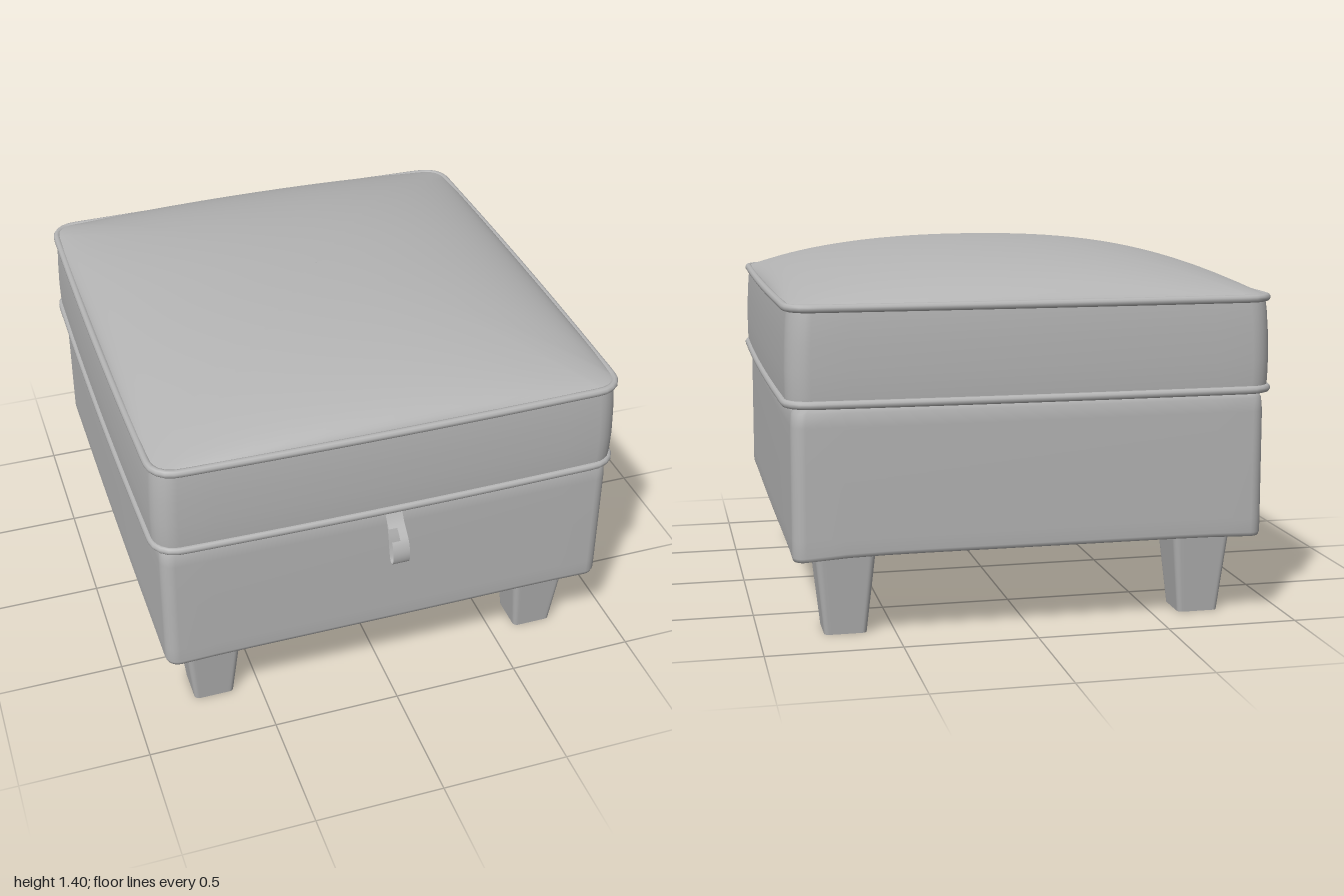
import * as THREE from 'three';

const grey = new THREE.MeshStandardMaterial({ color: 0xb4b4b4 });
grey.name = 'grey upholstery';
const greyOpen = new THREE.MeshStandardMaterial({ color: 0xb4b4b4, side: THREE.DoubleSide });
greyOpen.name = 'grey strap';

// Rounded rectangle in the xz plane; the sides bow out slightly by "bow"
function ring(hx, hz, r, bow = 0) {
  const corners = [[1, 1], [-1, 1], [-1, -1], [1, -1]];
  const pts = [];
  corners.forEach(([sx, sz], k) => {
    for (let i = 0; i <= 6; i++) {
      const a = (k + i / 6) * Math.PI / 2;
      pts.push([sx * (hx - r) + r * Math.cos(a), sz * (hz - r) + r * Math.sin(a)]);
    }
    const end = pts[pts.length - 1];
    const [nx, nz] = corners[(k + 1) % 4];
    const a = (k + 1) * Math.PI / 2;
    const next = [nx * (hx - r) + r * Math.cos(a), nz * (hz - r) + r * Math.sin(a)];
    for (let i = 1; i < 12; i++) {
      pts.push([0, 1].map(c => end[c] + (next[c] - end[c]) * i / 12));
    }
  });
  return pts.map(([x, z]) => [x * (1 - bow * (z / hz) ** 2), z * (1 - bow * (x / hx) ** 2)]);
}

// Skin over rounded-rectangle sections [hx, hz, radius, y], listed from bottom to top
function loft(sections, bow = 0, lift = (x, z, y) => y) {
  const pos = [], index = [];
  let n = 0;
  sections.forEach(([hx, hz, r, y], i) => {
    const pts = ring(hx, hz, r, bow);
    n = pts.length;
    pts.forEach(([x, z]) => pos.push(x, lift(x, z, y), z));
    if (i === 0) return;
    for (let j = 0; j < n; j++) {
      const a = (i - 1) * n + j, b = (i - 1) * n + (j + 1) % n;
      index.push(a, a + n, b, b, a + n, b + n);
    }
  });
  const geo = new THREE.BufferGeometry();
  geo.setAttribute('position', new THREE.Float32BufferAttribute(pos, 3));
  geo.setIndex(index);
  geo.computeVertexNormals();
  return geo;
}

export function createModel() {
  const model = new THREE.Group();
  model.name = 'footstool';
  const add = (name, geo, x = 0, y = 0, z = 0, mat = grey) => {
    const mesh = new THREE.Mesh(geo, mat);
    mesh.name = name;
    mesh.position.set(x, y, z);
    model.add(mesh);
  };

  // Storage box, its lower edge sagging a little at the corners
  const sag = (x, z, y) => {
    const low = Math.max(0, (0.5 - y) / 0.18);
    const corner = (Math.abs(x) / 0.89) ** 6 * (Math.abs(z) / 0.92) ** 6;
    return y - low * corner * (x > 0 && z < 0 ? 0.025 : 0.012);
  };
  add('storageBox', loft([
    [0.005, 0.005, 0.002, 0.335], [0.5, 0.53, 0.04, 0.335], [0.86, 0.895, 0.05, 0.333],
    [0.875, 0.91, 0.05, 0.327], [0.886, 0.921, 0.05, 0.331], [0.89, 0.925, 0.05, 0.345],
    [0.89, 0.925, 0.05, 0.4], [0.889, 0.924, 0.05, 0.6], [0.888, 0.923, 0.05, 0.8],
    [0.884, 0.919, 0.05, 0.85], [0.872, 0.907, 0.05, 0.87], [0.8, 0.83, 0.05, 0.876],
  ], 0.006, sag), 0, 0, -0.025);

  // Cushion side band with its underside
  add('cushionBand', loft([
    [0.005, 0.005, 0.002, 0.878], [0.8, 0.84, 0.08, 0.878], [0.908, 0.948, 0.085, 0.878],
    [0.908, 0.948, 0.085, 0.878], [0.911, 0.951, 0.085, 0.92], [0.912, 0.952, 0.085, 1.0],
    [0.909, 0.949, 0.085, 1.1], [0.904, 0.944, 0.085, 1.18], [0.898, 0.938, 0.085, 1.225],
  ], 0.014), 0, 0, -0.032);

  // Domed cushion top
  const puff = (v, h) => Math.max(0, 1 - Math.abs(v / h) ** 2.2) ** 0.55;
  const rings = [];
  for (let i = 0; i <= 24; i++) {
    const s = Math.max(0.003, 1 - (i / 24) ** 2);
    rings.push([0.897 * s, 0.937 * s, 0.085 * s, 1.222]);
  }
  add('cushionTop', loft(rings, 0.014,
    (x, z, y) => y + 0.183 * puff(x, 0.897) * puff(z, 0.937)), 0, 0, -0.032);

  // Piping along both cushion seams
  const piping = (name, hx, hz, y) => {
    const path = ring(hx, hz, 0.085, 0.014).map(([x, z]) => new THREE.Vector3(x, y, z));
    const curve = new THREE.CatmullRomCurve3(path, true);
    add(name, new THREE.TubeGeometry(curve, 240, 0.015, 10, true), 0, 0, -0.032);
  };
  piping('upperPiping', 0.902, 0.943, 1.224);
  piping('lowerPiping', 0.909, 0.949, 0.886);

  // Four tapered legs
  const leg = loft([
    [0.002, 0.002, 0.001, 0], [0.079, 0.079, 0.018, 0], [0.079, 0.079, 0.018, 0],
    [0.115, 0.115, 0.026, 0.34],
  ]);
  for (const [side, x] of [['Left', 0.683], ['Right', -0.683]]) {
    add('front' + side + 'Leg', leg, x, 0, 0.69);
    add('back' + side + 'Leg', leg, x, 0, -0.725);
  }

  // Pull strap: a looped ribbon with a small notch in its front strand
  const loop = new THREE.CatmullRomCurve3([
    [0.88, 0.9], [0.925, 0.83], [0.985, 0.77], [1.0, 0.72], [0.99, 0.683],
    [0.972, 0.683], [0.955, 0.72], [0.94, 0.78], [0.915, 0.84], [0.88, 0.875],
  ].map(([z, y]) => new THREE.Vector3(0, y, z))).getSpacedPoints(60);
  const pos = [], index = [];
  loop.forEach((p, i) => {
    [-0.035, -0.002, 0.03].forEach(x => pos.push(x, p.y, p.z));
    if (i === 0) return;
    const a = (i - 1) * 3;
    const notch = i < 25 && p.y > 0.775 && p.y < 0.81;
    for (const k of notch ? [1] : [0, 1]) {
      index.push(a + k, a + k + 3, a + k + 1, a + k + 1, a + k + 3, a + k + 4);
    }
  });
  const strap = new THREE.BufferGeometry();
  strap.setAttribute('position', new THREE.Float32BufferAttribute(pos, 3));
  strap.setIndex(index);
  strap.computeVertexNormals();
  add('pullStrap', strap, 0, 0, 0, greyOpen);

  return model;
}
